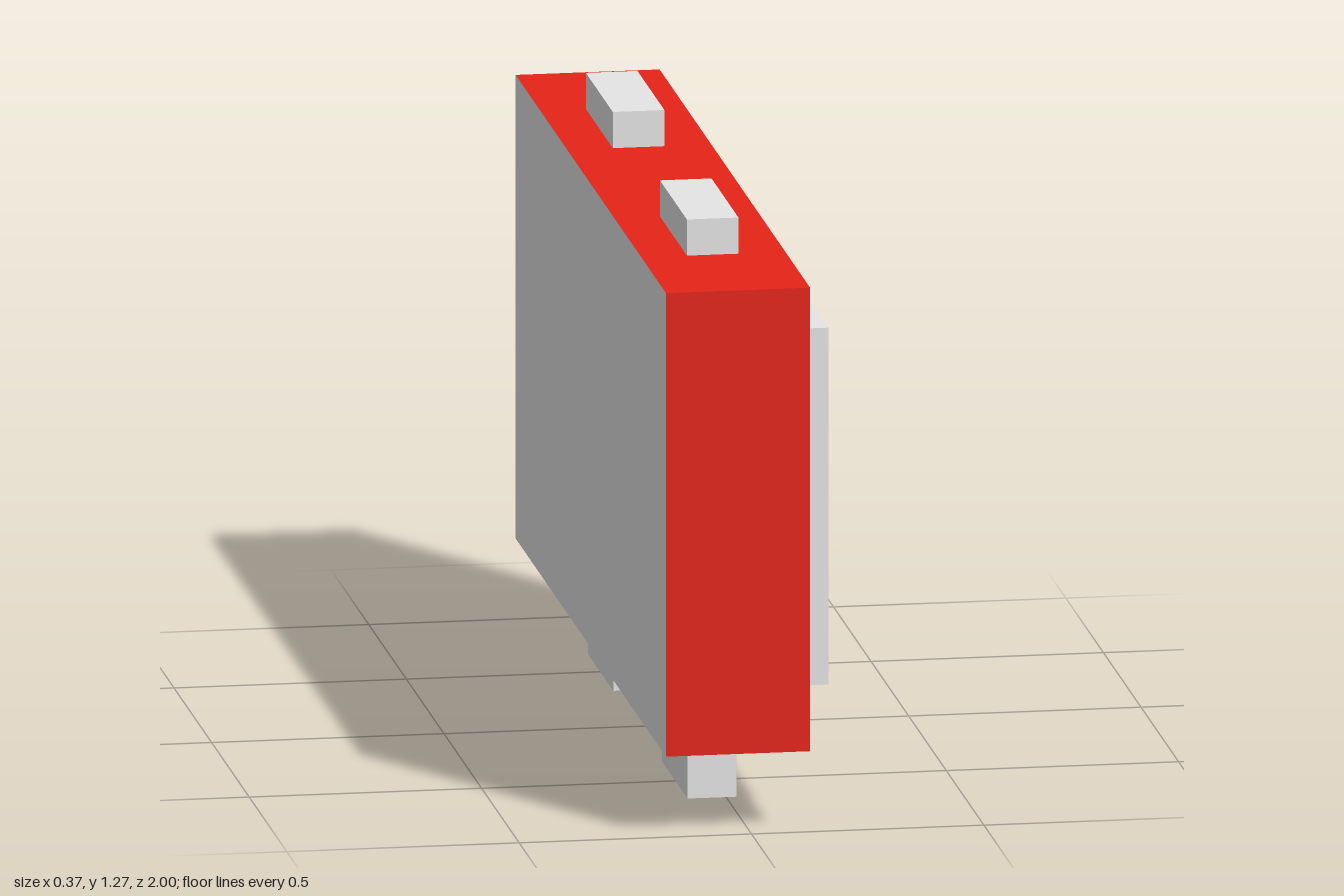
import * as THREE from 'three';

export function createModel() {
  const model = new THREE.Group();
  const red = new THREE.MeshStandardMaterial({ color: 0xe62318 });
  red.name = 'red';
  const grey = new THREE.MeshStandardMaterial({ color: 0xe6e6e6 });
  grey.name = 'light grey';

  // Box given by its lower and upper limits on each axis
  function addBox(name, material, [x0, x1], [y0, y1], [z0, z1]) {
    const mesh = new THREE.Mesh(new THREE.BoxGeometry(x1 - x0, y1 - y0, z1 - z0), material);
    mesh.position.set((x0 + x1) / 2, (y0 + y1) / 2, (z0 + z1) / 2);
    mesh.name = name;
    model.add(mesh);
  }

  // Counter-clockwise rectangle for outlines and holes
  function rectangle(path, u0, u1, v0, v1) {
    path.moveTo(u0, v0);
    path.lineTo(u1, v0);
    path.lineTo(u1, v1);
    path.lineTo(u0, v1);
    path.closePath();
    return path;
  }

  // Cabinet body with a grey back panel on the -x side
  addBox('body', [red, grey, red, red, red, red], [-0.184, 0.126], [0.176, 1.189], [-1, 1]);

  for (const side of [1, -1]) {
    const label = side > 0 ? 'front' : 'rear';
    const span = (a, b) => (side > 0 ? [a, b] : [-b, -a]);

    // Top block and foot
    addBox(label + 'TopBlock', grey, [-0.086, 0.025], [1.189, 1.268], span(0.313, 0.672));
    addBox(label + 'Foot', grey, [-0.083, 0.022], [0, 0.176], span(0.325, 0.662));

    // Door with a recessed handle slot near its outer edge
    const [d0, d1] = span(0.104, 0.885);
    const [h0, h1] = span(0.705, 0.799);
    const shape = rectangle(new THREE.Shape(), -d1, -d0, 0.292, 1.072);
    shape.holes.push(rectangle(new THREE.Path(), -h1, -h0, 0.557, 0.806));
    const geometry = new THREE.ExtrudeGeometry(shape, { depth: 0.058, bevelEnabled: false });
    geometry.rotateY(Math.PI / 2);
    const door = new THREE.Mesh(geometry, grey);
    door.position.x = 0.126;
    door.name = label + 'Door';
    model.add(door);

    // Floor of the handle slot
    addBox(label + 'HandleRecess', grey, [0.126, 0.132], [0.557, 0.806], [h0, h1]);
  }
  return model;
}
